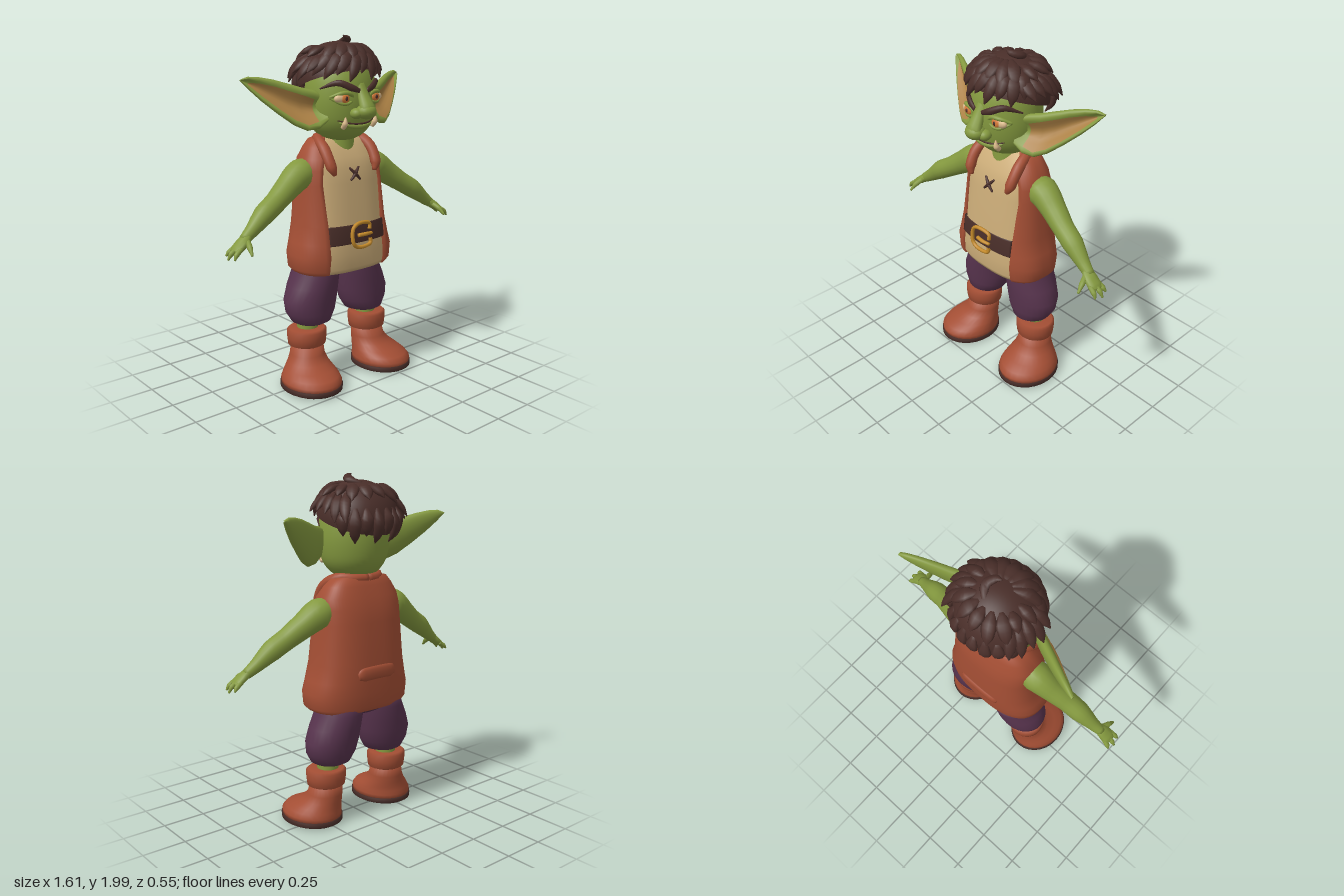
import * as THREE from 'three';

const mat = (name, color, extra = {}) => Object.assign(new THREE.MeshStandardMaterial({ color, ...extra }), { name });
const M = {
  skin: mat('greenSkin', 0x84993f), vest: mat('rustLeather', 0xa34e34),
  shirt: mat('tanCloth', 0xcbac78), pants: mat('plumCloth', 0x57334d),
  brown: mat('darkBrown', 0x492e29, { side: THREE.DoubleSide }), gold: mat('gold', 0xc48a2a),
  innerEar: mat('innerEar', 0xab8044, { side: THREE.DoubleSide }), ivory: mat('ivory', 0xdcbb8c),
  iris: mat('orangeIris', 0xd57a38),
};
const V = (x, y, z) => new THREE.Vector3(x, y, z);
const lerp = THREE.MathUtils.lerp;

// Skin a list of point rings (counter-clockwise about the travel direction)
function skin(rings, closed = true, caps = true) {
  const n = rings[0].length, pos = rings.flat().flatMap(p => [p.x, p.y, p.z]), idx = [];
  for (let i = 0; i < rings.length - 1; i++)
    for (let j = 0; j < (closed ? n : n - 1); j++) {
      const k = (j + 1) % n, a = i * n + j, b = i * n + k;
      idx.push(a, b, a + n, b, b + n, a + n);
    }
  if (closed && caps) for (const end of [0, rings.length - 1]) {
    const c = rings[end].reduce((s, p) => s.add(p), V(0, 0, 0)).divideScalar(n), ci = pos.length / 3;
    pos.push(c.x, c.y, c.z);
    for (let j = 0; j < n; j++) {
      const a = end * n + j, b = end * n + (j + 1) % n;
      end ? idx.push(ci, a, b) : idx.push(ci, b, a);
    }
  }
  const g = new THREE.BufferGeometry();
  g.setAttribute('position', new THREE.Float32BufferAttribute(pos, 3));
  g.setIndex(idx);
  g.computeVertexNormals();
  return g;
}

// Upright stack of ellipses: rows of [y, cx, cz, rx, rz]
const stack = (rows, n = 28) => skin(rows.map(([y, cx, cz, rx, rz]) =>
  Array.from({ length: n }, (_, j) => {
    const a = j / n * Math.PI * 2;
    return V(cx + Math.sin(a) * rx, y, cz + Math.cos(a) * rz);
  })));

// Elliptical sweep along a curve: points [x, y, z, width, height]
function sweep(pts, up = V(0, 1, 0), steps = 14, n = 10) {
  const curve = new THREE.CatmullRomCurve3(pts.map(p => V(p[0], p[1], p[2])));
  const rings = [];
  for (let i = 0; i <= steps; i++) {
    const u = i / steps, f = u * (pts.length - 1), k = Math.min(Math.floor(f), pts.length - 2);
    const at = q => lerp(pts[k][q] ?? pts[k][3], pts[k + 1][q] ?? pts[k + 1][3], f - k);
    const c = curve.getPoint(u), t = curve.getTangent(u);
    const side = up.clone().cross(t).normalize(), nor = t.clone().cross(side);
    rings.push(Array.from({ length: n }, (_, j) => {
      const a = j / n * Math.PI * 2;
      return c.clone().addScaledVector(side, Math.cos(a) * at(3)).addScaledVector(nor, Math.sin(a) * at(4));
    }));
  }
  return skin(rings);
}
const ball = (x, y, z, rx, ry, rz) => new THREE.SphereGeometry(1, 20, 14).scale(rx, ry, rz).translate(x, y, z);
function mirrored(g) {
  const m = g.clone().scale(-1, 1, 1), ix = m.index.array;
  for (let i = 0; i < ix.length; i += 3) [ix[i], ix[i + 1]] = [ix[i + 1], ix[i]];
  return m;
}
function sample(table, y) {
  let k = 0;
  while (k < table.length - 2 && table[k + 1][0] < y) k++;
  const t = THREE.MathUtils.clamp((y - table[k][0]) / (table[k + 1][0] - table[k][0]), 0, 1);
  return table[k].map((v, i) => lerp(v, table[k + 1][i], t));
}

// Torso profile: y, half width, front z, back z, half opening of the vest
const BODY = [
  [0.675, 0.3, 0.165, -0.2, 0.2], [0.7, 0.32, 0.175, -0.208, 0.205], [0.78, 0.328, 0.177, -0.212, 0.2],
  [0.85, 0.308, 0.172, -0.214, 0.2], [0.95, 0.285, 0.163, -0.214, 0.2], [1.18, 0.265, 0.137, -0.2, 0.21],
  [1.26, 0.262, 0.12, -0.186, 0.2], [1.32, 0.25, 0.1, -0.17, 0.18], [1.38, 0.212, 0.06, -0.148, 0.15],
  [1.42, 0.175, 0.03, -0.132, 0.13], [1.435, 0.12, 0.0, -0.115, 0.1]];
const POW = 2 / 2.6, bend = v => Math.sign(v) * Math.abs(v) ** POW;
function bodyPoint(y, a, off) {
  const [, rx, f, b] = sample(BODY, y), mid = (f + b) / 2;
  return V(bend(Math.sin(a)) * (rx + off), y, mid + bend(Math.cos(a)) * ((f - b) / 2 + off));
}
const openAngle = y => { const r = sample(BODY, y); return Math.asin((r[4] / r[1]) ** (1 / POW)); };
// Thick band of the torso from angle a(y) to b(y)
function shell(ys, a, b, outer, inner, n = 44) {
  return skin(ys.map((y, i) => {
    const end = i === 0 || i === ys.length - 1, ring = [];
    for (let j = 0; j <= n; j++) ring.push(bodyPoint(y, lerp(a(y), b(y), j / n), end ? outer - 0.004 : outer));
    for (let j = n; j >= 0; j--) ring.push(bodyPoint(y, lerp(a(y), b(y), j / n), inner));
    return ring;
  }), true, false);
}

// Head profile: y, radius
const HEAD = [[1.405, 0], [1.413, 0.07], [1.445, 0.135], [1.5, 0.18], [1.57, 0.201], [1.66, 0.208],
  [1.76, 0.195], [1.84, 0.155], [1.89, 0.09], [1.91, 0]];
const faceZ = (x, y) => 0.9 * Math.sqrt(Math.max(sample(HEAD, y)[1] ** 2 - x * x, 0)) - 0.006;

export function createModel() {
  const root = new THREE.Group();
  root.name = 'goblin';
  const add = (name, g, m) => {
    const mesh = new THREE.Mesh(g, m);
    mesh.name = name;
    root.add(mesh);
  };
  const pair = (name, g, m) => { add(name + 'Left', g, m); add(name + 'Right', mirrored(g), m); };

  // Clothing
  const ys = BODY.map(r => r[0]);
  add('shirt', skin(ys.map(y => Array.from({ length: 48 }, (_, j) => bodyPoint(y, j / 48 * Math.PI * 2, -0.01)))), M.shirt);
  add('vest', shell(ys, openAngle, y => Math.PI * 2 - openAngle(y), 0.004, -0.018), M.vest);
  add('belt', shell([0.842, 0.848, 0.9, 0.944, 0.95], y => -openAngle(y), openAngle, 0.002, -0.02, 24), M.brown);
  pair('collar', sweep([[0.145, 1.235, 0.122, 0.012], [0.162, 1.28, 0.112, 0.03], [0.165, 1.37, 0.055, 0.032],
    [0.142, 1.42, -0.035, 0.03], [0.085, 1.42, -0.105, 0.026], [0, 1.42, -0.125, 0.024]], V(0, 0.7, 1), 20), M.vest);
  add('backStrap', sweep([[-0.13, 0.885, -0.205, 0.012, 0.02], [-0.1, 0.895, -0.214, 0.014, 0.04],
    [0.1, 0.895, -0.214, 0.014, 0.04], [0.13, 0.885, -0.205, 0.012, 0.02]]), M.vest);
  const tube = (pts, r) => new THREE.TubeGeometry(new THREE.CatmullRomCurve3(pts.map(p => V(...p))), 40, r, 8);
  add('buckle', tube([[0.06, 0.915, 0.18], [0.06, 0.945, 0.178], [0.03, 0.957, 0.18], [-0.04, 0.955, 0.185], [-0.068, 0.93, 0.185],
    [-0.068, 0.85, 0.19], [-0.04, 0.825, 0.19], [0.03, 0.823, 0.19], [0.06, 0.835, 0.188], [0.06, 0.865, 0.185]], 0.011), M.gold);
  add('bucklePin', sweep([[-0.03, 0.89, 0.186, 0.011], [0.02, 0.892, 0.194, 0.011], [0.07, 0.89, 0.186, 0.009]]), M.gold);
  for (const s of [-1, 1]) add('crossStitch', sweep([[-0.034 * s, 1.195, 0.126, 0.006],
    [0, 1.23, 0.124, 0.011], [0.034 * s, 1.265, 0.111, 0.006]], V(0, 0, 1)), M.brown);

  // Legs and boots
  add('trouserSeat', ball(0, 0.7, -0.05, 0.25, 0.075, 0.142), M.pants);
  pair('trouserLeg', stack([[0.362, 0.205, -0.035, 0.09, 0.09], [0.375, 0.2, -0.035, 0.118, 0.113], [0.43, 0.2, -0.042, 0.152, 0.128],
    [0.5, 0.195, -0.047, 0.164, 0.138], [0.58, 0.175, -0.05, 0.153, 0.145], [0.66, 0.15, -0.052, 0.138, 0.147], [0.73, 0.14, -0.05, 0.13, 0.14]]), M.pants);
  pair('ankle', new THREE.CylinderGeometry(0.062, 0.062, 0.14, 20).translate(0.222, 0.33, -0.04), M.skin);
  pair('bootCuff', stack([[0.228, 0.232, -0.035, 0.09, 0.09], [0.238, 0.232, -0.035, 0.112, 0.106], [0.28, 0.232, -0.035, 0.117, 0.111],
    [0.32, 0.232, -0.035, 0.118, 0.112], [0.333, 0.232, -0.035, 0.105, 0.098]]), M.vest);
  pair('boot', stack([[0.03, 0.27, 0.055, 0.165, 0.19], [0.06, 0.27, 0.055, 0.165, 0.192], [0.085, 0.265, 0.045, 0.153, 0.178],
    [0.11, 0.257, 0.02, 0.138, 0.15], [0.14, 0.246, -0.008, 0.117, 0.122], [0.18, 0.236, -0.028, 0.101, 0.103], [0.245, 0.23, -0.035, 0.092, 0.095]]), M.vest);
  pair('sole', stack([[0.003, 0.27, 0.055, 0.155, 0.182], [0.012, 0.27, 0.055, 0.17, 0.197], [0.036, 0.27, 0.055, 0.17, 0.197], [0.042, 0.27, 0.055, 0.162, 0.188]]), M.brown);
  pair('footPatch', new THREE.CircleGeometry(1, 24).rotateX(Math.PI / 2).scale(0.085, 1, 0.1).translate(0.26, 0, 0.04), M.skin);

  // Arms and hands
  pair('arm', sweep([[0.19, 1.24, -0.035, 0.075], [0.27, 1.235, -0.032, 0.087], [0.37, 1.175, -0.015, 0.07], [0.46, 1.115, 0.005, 0.06],
    [0.55, 1.06, 0.02, 0.058], [0.64, 0.99, 0.035, 0.038], [0.7, 0.948, 0.045, 0.028]], undefined, 24, 16), M.skin);
  pair('palm', sweep([[0.67, 0.97, 0.042, 0.028, 0.024], [0.71, 0.94, 0.052, 0.042, 0.026], [0.75, 0.912, 0.056, 0.045, 0.02], [0.768, 0.9, 0.057, 0.034, 0.012]]), M.skin);
  for (const [z0, z1, x1, y1] of [[0.026, 0.014, 0.79, 0.875], [0.056, 0.054, 0.803, 0.863], [0.086, 0.098, 0.79, 0.868]])
    pair('finger', sweep([[0.74, 0.917, z0, 0.014], [lerp(0.75, x1, 0.6), 0.893, (z0 + z1) / 2, 0.014], [x1, y1, z1, 0.005]]), M.skin);
  pair('thumb', sweep([[0.69, 0.95, 0.065, 0.016], [0.705, 0.925, 0.11, 0.016], [0.715, 0.89, 0.148, 0.006]]), M.skin);

  // Head and face
  add('neck', new THREE.CylinderGeometry(0.09, 0.1, 0.12, 24).translate(0, 1.41, -0.035), M.skin);
  const profile = new THREE.SplineCurve(HEAD.map(([y, r]) => new THREE.Vector2(r, y))).getPoints(36);
  profile.forEach(p => { p.x = Math.max(p.x, 0); });
  add('head', new THREE.LatheGeometry(profile, 36).scale(1, 1, 0.92).translate(0, 0, -0.008), M.skin);
  add('noseBridge', sweep([[0, 1.735, 0.16, 0.03, 0.015], [0, 1.67, 0.185, 0.035, 0.025], [0, 1.6, 0.22, 0.05, 0.035], [0, 1.575, 0.225, 0.04, 0.03]], V(0, 0, 1)), M.skin);
  add('noseTip', ball(0, 1.583, 0.21, 0.058, 0.042, 0.055), M.skin);
  pair('nostril', ball(0.05, 1.573, 0.187, 0.034, 0.03, 0.038), M.skin);
  const onFace = (pts, lift) => pts.map(([x, y, w, h]) => [x, y, faceZ(x, y) + lift, w, h ?? w]);
  add('mouthLine', sweep(onFace([[-0.13, 1.535, 0.003], [-0.07, 1.518, 0.005], [0, 1.513, 0.005], [0.07, 1.518, 0.005], [0.13, 1.535, 0.003]], 0.006)), M.brown);
  add('lowerLip', sweep(onFace([[-0.12, 1.522, 0.006], [-0.06, 1.503, 0.013], [0, 1.497, 0.014], [0.06, 1.503, 0.013], [0.12, 1.522, 0.006]], 0.004)), M.skin);
  pair('tusk', sweep([[0.105, 1.495, 0.14, 0.014], [0.108, 1.52, 0.162, 0.016], [0.108, 1.555, 0.165, 0.003]], V(0, 0, 1)), M.ivory);
  pair('eye', ball(0.11, 1.655, 0.145, 0.058, 0.03, 0.026), M.ivory);
  pair('iris', ball(0.108, 1.655, 0.163, 0.029, 0.025, 0.013), M.iris);
  pair('pupil', ball(0.108, 1.655, 0.174, 0.009, 0.012, 0.005), M.brown);
  pair('upperLid', sweep([[0.045, 1.65, 0.165, 0.008], [0.08, 1.679, 0.167, 0.012], [0.13, 1.682, 0.157, 0.012], [0.178, 1.66, 0.115, 0.008]]), M.skin);
  pair('lowerLid', sweep([[0.045, 1.65, 0.165, 0.006], [0.09, 1.627, 0.167, 0.009], [0.13, 1.628, 0.157, 0.009], [0.178, 1.658, 0.115, 0.006]]), M.skin);
  pair('brow', sweep(onFace([[0.028, 1.693, 0.008, 0.012], [0.075, 1.712, 0.014, 0.02], [0.135, 1.737, 0.013, 0.018], [0.195, 1.705, 0.004]], 0.012)), M.brown);

  // Ears: x, upper edge, lower edge; dished on the front
  const EAR = [[0.17, 1.68, 1.53], [0.22, 1.7, 1.493], [0.28, 1.715, 1.485], [0.34, 1.735, 1.515],
    [0.41, 1.757, 1.575], [0.48, 1.771, 1.643], [0.53, 1.773, 1.7], [0.565, 1.76, 1.748]];
  const earPoint = ([x, u, l], a, lift) => {
    const s = Math.sin(a), y = (u + l) / 2 + Math.cos(a) * (u - l) / 2;
    const thick = 0.012 + 0.16 * (u - l), dz = s > 0 ? s * (1 - 1.6 * s ** 4) : s;
    return V(x, y, 0.075 - 0.42 * (x - 0.22) - 0.28 * (y - 1.49) + thick * dz + lift);
  };
  pair('ear', skin(EAR.map(r => Array.from({ length: 28 }, (_, j) => earPoint(r, j / 28 * Math.PI * 2, 0)))), M.skin);
  pair('innerEar', skin(EAR.slice(1, 7).map((r, i) => Array.from({ length: 9 }, (_, j) =>
    earPoint(r, Math.PI / 2 + (j / 8 - 0.45) * [1.2, 1.5, 1.5, 1.4, 1.1, 0.3][i], 0.004))), false), M.innerEar);

  // Hair: a tilted cap with tapered locks
  const C = V(0, 1.745, -0.035);
  add('hairCap', new THREE.SphereGeometry(1, 32, 16, 0, Math.PI * 2, 0, Math.PI * 0.52).rotateX(-0.35)
    .scale(0.232, 0.208, 0.222).translate(C.x, C.y, C.z), M.brown);
  const dome = (a, e, k) => V(Math.sin(a) * Math.cos(e) * 0.235, Math.sin(e) * 0.21, Math.cos(a) * Math.cos(e) * 0.225).multiplyScalar(k).add(C);
  const lock = (a0, e0, a1, e1, k, w) => {
    const p = [dome(a0, e0, 0.96), dome(lerp(a0, a1, 0.4), lerp(e0, e1, 0.4), 1.03), dome(lerp(a0, a1, 0.75), lerp(e0, e1, 0.75), (k + 1.04) / 2), dome(a1, e1, k)];
    const r = [[0.014, 0.008], [w, 0.02], [w * 0.75, 0.016], [0.003, 0.003]];
    add('hairLock', sweep(p.map((q, i) => [q.x, q.y, q.z, ...r[i]]), p[1].clone().sub(C).normalize(), 10, 8), M.brown);
  };
  let seed = 7;
  const rnd = () => (seed = (seed * 16807) % 2147483647) / 2147483647;
  for (let i = 0; i < 9; i++) { // fringe
    const a = -1.2 + i * 0.3;
    lock(a * 0.8 + 0.25, 0.95, a - 0.08, (i % 2 ? -0.02 : 0.14) + rnd() * 0.08, 1.03, 0.038);
  }
  for (let i = 0; i < 6; i++) // upper fringe
    lock(-0.7 + i * 0.32, 1.25, -1.05 + i * 0.4, 0.42 + rnd() * 0.15, 1.07, 0.04);
  for (const s of [-1, 1]) for (let i = 0; i < 5; i++) { // sides
    const a = s * (1.15 + i * 0.24);
    lock(a, 0.75, a + s * 0.15, 0.05 + rnd() * 0.2 - i * 0.04, 1.16 + rnd() * 0.06, 0.036);
    if (i % 2) lock(a, 1.05, a + s * 0.1, 0.5 + rnd() * 0.15, 1.13, 0.034);
  }
  for (let i = 0; i < 8; i++) // nape
    lock(2.15 + i * 0.28, 0.3, 2.12 + i * 0.29, i % 2 ? -0.62 : -0.4, 1.02, 0.036);
  for (let i = 0; i < 5; i++) // crown back
    lock(2.3 + i * 0.42, 1.1, 2.35 + i * 0.42, 0.35 + rnd() * 0.2, 1.1, 0.04);
  lock(2.8, 1.2, 0.3, 1.42, 1.15, 0.03);
  return root;
}
